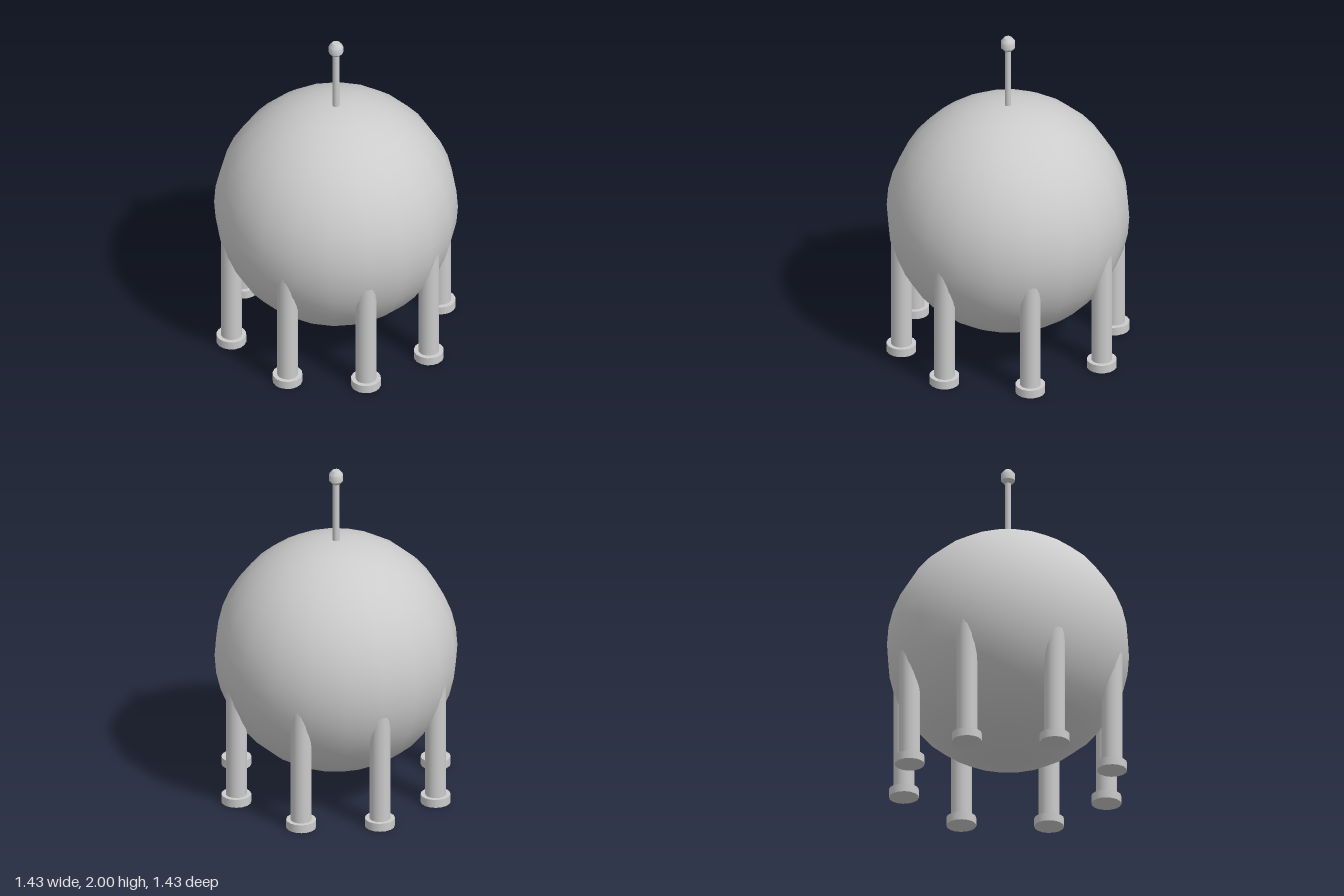
import * as THREE from 'three';
import { toCreasedNormals } from 'three/addons/utils/BufferGeometryUtils.js';

export function createModel() {
  const model = new THREE.Group();
  model.name = 'sphericalTank';
  const material = new THREE.MeshStandardMaterial({ color: 0xcccccc });

  function add(parent, name, geometry, x, y, z) {
    const mesh = new THREE.Mesh(geometry, material);
    mesh.name = name;
    mesh.position.set(x, y, z);
    parent.add(mesh);
    return mesh;
  }

  // Round storage vessel
  add(model, 'tank', new THREE.SphereGeometry(0.706, 20, 20), 0, 0.85, 0);

  // Ring of eight legs, each standing on a round foot and running into the tank
  const legGeometry = new THREE.CylinderGeometry(0.061, 0.061, 0.75, 16);
  const footGeometry = new THREE.CylinderGeometry(0.087, 0.087, 0.05, 16);
  const spots = [[0.63, 0], [-0.63, 0], [0, 0.63], [0, -0.63]];
  for (const sx of [-1, 1]) for (const sz of [-1, 1]) spots.push([sx * 0.425, sz * 0.465]);
  for (const [x, z] of spots) {
    const support = new THREE.Group();
    support.name = 'support';
    support.position.set(x, 0, z);
    add(support, 'leg', legGeometry, 0, 0.415, 0);
    add(support, 'foot', footGeometry, 0, 0.025, 0);
    model.add(support);
  }

  // Vent pipe on top
  add(model, 'ventPipe', new THREE.CylinderGeometry(0.019, 0.019, 0.42, 10), 0, 1.72, 0);

  // Bevelled cap on the pipe
  const capProfile = [[0, 1.915], [0.024, 1.915], [0.042, 1.935], [0.042, 1.976], [0.022, 2], [0, 2]]
    .map(([r, y]) => new THREE.Vector2(r, y));
  const cap = toCreasedNormals(new THREE.LatheGeometry(capProfile, 10), 0.7);
  add(model, 'ventCap', cap, 0, 0, 0);

  return model;
}
